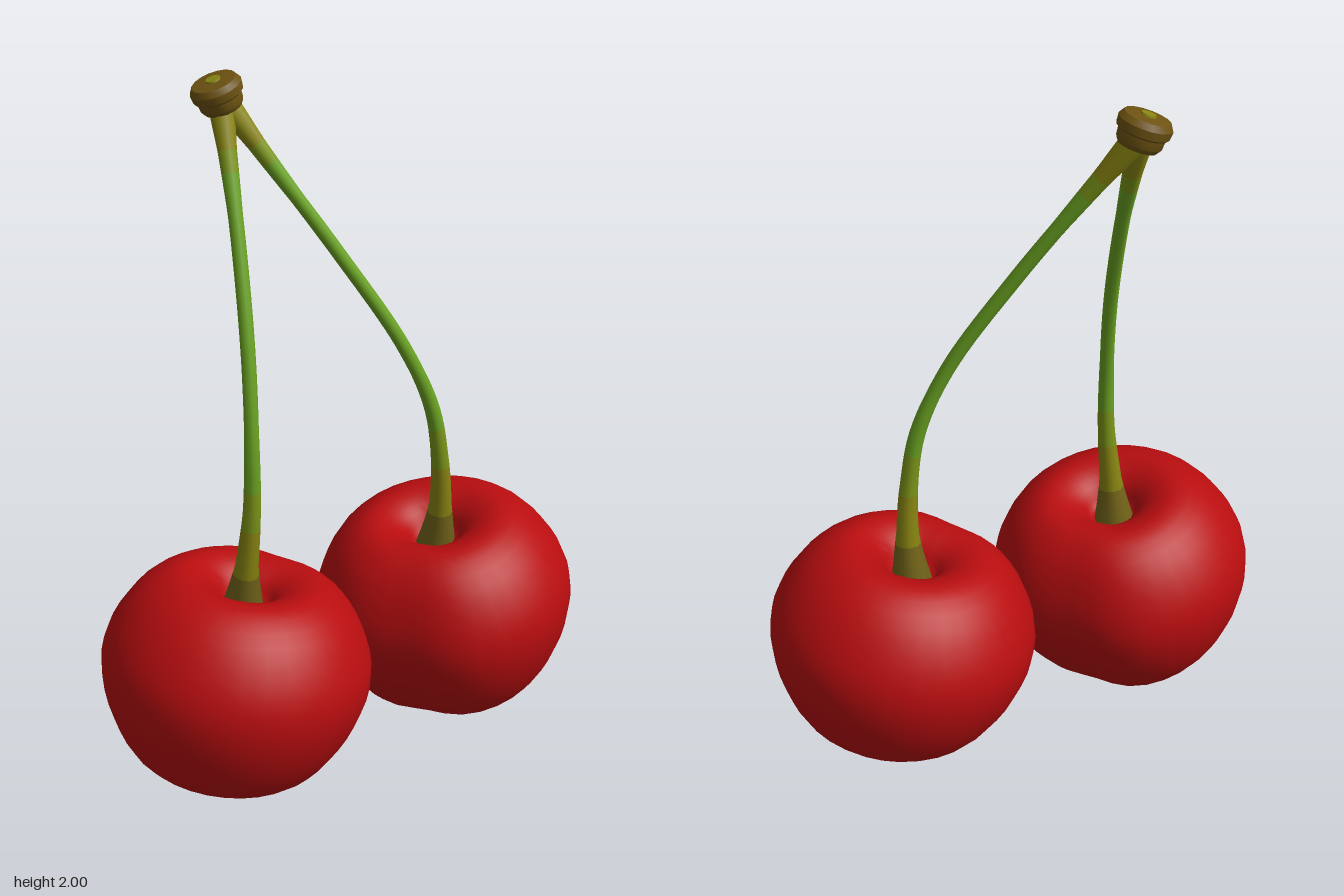
import * as THREE from 'three';
import { toCreasedNormals } from 'three/addons/utils/BufferGeometryUtils.js';

const mat = (name, color) => {
  const m = new THREE.MeshStandardMaterial({ color });
  m.name = name;
  return m;
};
const V = (x, y, z) => new THREE.Vector3(x, y, z);
const TILT = 0.175;

// Cherry body: lathe with dimples at both ends and one suture groove down the side
function cherryGeometry() {
  const curve = new THREE.SplineCurve([
    [0, -0.285], [0.05, -0.29], [0.13, -0.315], [0.2, -0.298], [0.285, -0.24], [0.355, -0.12],
    [0.388, 0.01], [0.37, 0.12], [0.3, 0.235], [0.21, 0.295], [0.14, 0.288], [0.09, 0.255],
    [0.06, 0.215], [0, 0.2],
  ].map(([r, y]) => new THREE.Vector2(r, y)));
  const pts = curve.getPoints(36);
  pts.forEach((p) => { p.x = Math.max(0, p.x); });
  const geo = new THREE.LatheGeometry(pts, 32);
  const pos = geo.attributes.position;
  const grooveAngle = Math.atan2(0.5, -0.85);
  for (let i = 0; i < pos.count; i++) {
    const x = pos.getX(i), z = pos.getZ(i);
    let d = Math.atan2(z, x) - grooveAngle;
    d = Math.atan2(Math.sin(d), Math.cos(d));
    const k = 1 - 0.1 * Math.exp(-(d * d) / 0.13);
    pos.setX(i, x * k);
    pos.setZ(i, z * k);
  }
  geo.rotateZ(TILT);
  return toCreasedNormals(geo, 1.2);
}

// Stem: tube whose radius and colour change along its length
function stemGeometry(points, radii, bands) {
  const N = 48, R = 10;
  const curve = new THREE.CatmullRomCurve3(points);
  const geo = new THREE.TubeGeometry(curve, N, 1, R);
  const pos = geo.attributes.position;
  const v = V(0, 0, 0);
  for (let i = 0; i <= N; i++) {
    const t = i / N;
    const c = curve.getPointAt(t);
    let k = 0;
    while (k < radii.length - 2 && t > radii[k + 1][0]) k++;
    const [t0, r0] = radii[k], [t1, r1] = radii[k + 1];
    const r = THREE.MathUtils.mapLinear(t, t0, t1, r0, r1);
    for (let j = 0; j <= R; j++) {
      const n = i * (R + 1) + j;
      v.fromBufferAttribute(pos, n).sub(c).multiplyScalar(r).add(c);
      pos.setXYZ(n, v.x, v.y, v.z);
    }
  }
  let start = 0;
  for (const [end, m] of bands) {
    const stop = Math.round(end * N);
    geo.addGroup(start * R * 6, (stop - start) * R * 6, m);
    start = stop;
  }
  return geo;
}

export function createModel() {
  const red = mat('cherry red', 0xb80d0f);
  const green = mat('stem green', 0x6aa322);
  const lime = mat('yellow green', 0x7c9619);
  const olive = mat('olive', 0x8a8612);
  const umber = mat('olive brown', 0x75661a);
  const brown = mat('cap brown', 0x6e5312);
  const stemMats = [umber, olive, lime, green];

  const model = new THREE.Group();
  const add = (parent, name, geo, material) => {
    const m = new THREE.Mesh(geo, material);
    m.name = name;
    parent.add(m);
    return m;
  };

  // Cherries: the right one is the left one turned half round
  const body = cherryGeometry();
  const tipProfile = [[0, -0.03], [0.016, -0.03], [0.026, -0.02], [0.028, 0.01]]
    .map(([r, y]) => new THREE.Vector2(r, y));
  const tip = new THREE.LatheGeometry(tipProfile, 10);
  tip.translate(0, -0.285, 0).rotateZ(TILT);
  const cherries = [['leftCherry', 0.364, 0.34, 0.03, 0], ['rightCherry', -0.368, 0.335, -0.02, Math.PI]];
  for (const [name, x, y, z, turn] of cherries) {
    const g = new THREE.Group();
    g.name = name;
    g.position.set(x, y, z);
    g.rotation.y = turn;
    add(g, 'fruit', body, red);
    add(g, 'blossomTip', tip, olive);
    model.add(g);
  }

  // Stems, from the dimple up to the shared cap
  const radii = [[0, 0.062], [0.05, 0.046], [0.1, 0.033], [0.22, 0.025], [0.4, 0.02],
    [0.8, 0.02], [0.92, 0.026], [1, 0.036]];
  const bands = [[0.085, 0], [0.19, 1], [0.27, 2], [0.87, 3], [0.92, 2], [1, 1]];
  add(model, 'leftStem', stemGeometry([
    V(0.328, 0.53, 0.025), V(0.326, 0.68, 0.045), V(0.31, 0.85, 0.055), V(0.28, 1.02, 0.048),
    V(0.2, 1.22, 0.012), V(0.05, 1.5, -0.09), V(-0.09, 1.75, -0.2), V(-0.175, 1.91, -0.28),
  ], radii, bands), stemMats);
  add(model, 'rightStem', stemGeometry([
    V(-0.333, 0.53, -0.03), V(-0.328, 0.68, -0.008), V(-0.318, 0.85, 0.008), V(-0.311, 1.05, 0.006),
    V(-0.285, 1.3, -0.04), V(-0.24, 1.6, -0.145), V(-0.192, 1.91, -0.28),
  ], radii, bands), stemMats);

  // Woody cap where the stems join
  const cap = new THREE.Group();
  cap.name = 'stemCap';
  cap.position.set(-0.196, 1.94, -0.288);
  cap.rotation.set(-0.06, 0, 0.33);
  const capProfile = [[0, -0.042], [0.052, -0.042], [0.06, -0.03], [0.062, -0.006], [0.07, 0],
    [0.072, 0.022], [0.062, 0.038], [0.03, 0.041], [0, 0.041]].map(([r, y]) => new THREE.Vector2(r, y));
  add(cap, 'capBody', toCreasedNormals(new THREE.LatheGeometry(capProfile, 16), 0.6), brown);
  const scar = add(cap, 'capScar', new THREE.CylinderGeometry(0.02, 0.022, 0.008, 10), olive);
  scar.position.y = 0.042;
  model.add(cap);

  return model;
}
